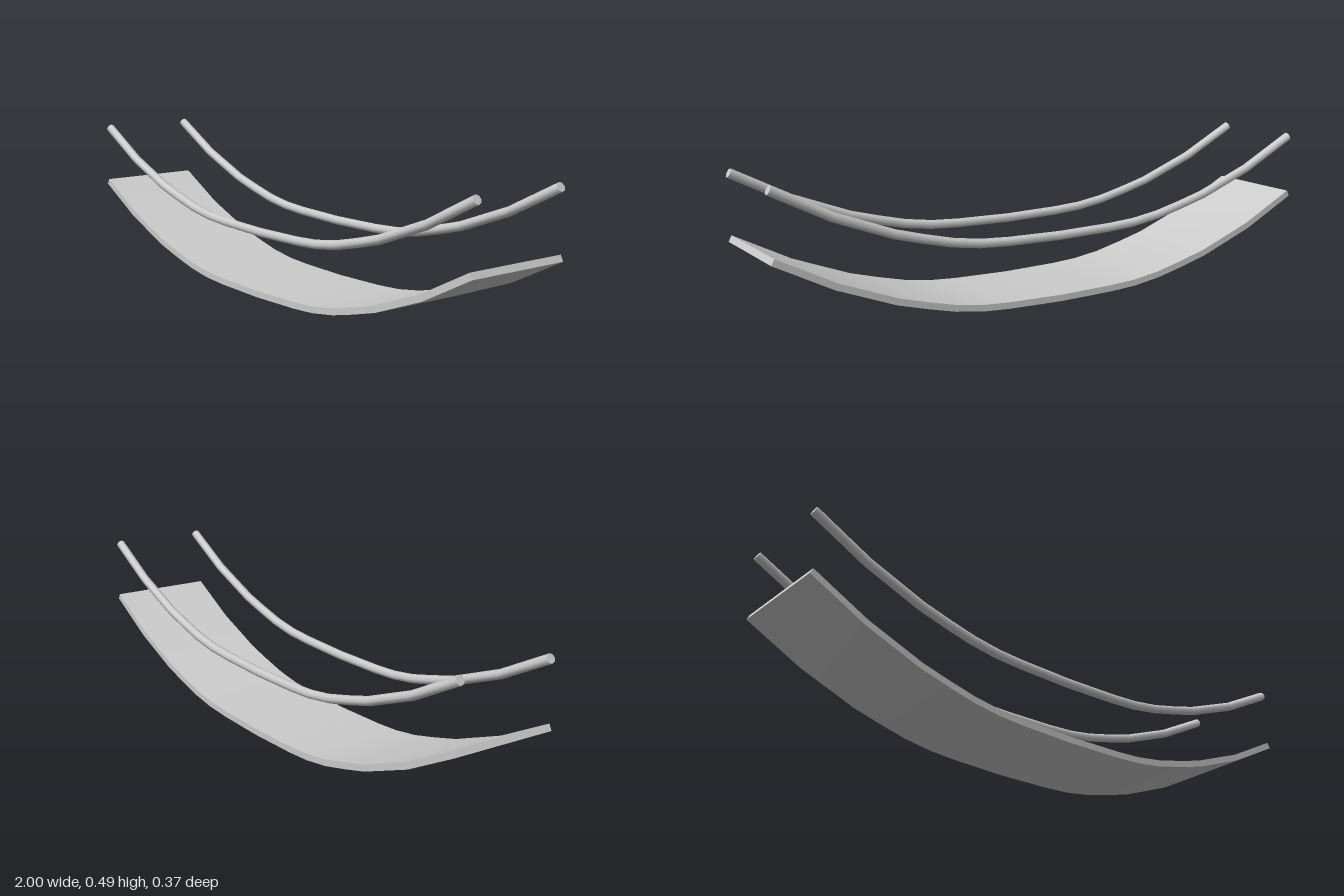
import * as THREE from 'three';
import { toCreasedNormals } from 'three/addons/utils/BufferGeometryUtils.js';

// Half of the sagging centre line (x, y), mirrored to the full span
const half = [[0, 0.011], [0.2, 0.015], [0.3, 0.021], [0.4, 0.036], [0.5, 0.06],
  [0.6, 0.087], [0.8, 0.163], [0.995, 0.263]];
const path = [...half.slice(1).reverse().map(([x, y]) => [-x, y]), ...half]
  .map(([x, y]) => new THREE.Vector2(x, y));

// Sweeps a closed section of [along normal, along z] points down the path
function sweep(section) {
  const n = section.length, last = path.length - 1;
  const pos = [], index = [];
  path.forEach((p, i) => {
    const before = p.clone().sub(path[Math.max(i - 1, 0)]).normalize();
    const after = path[Math.min(i + 1, last)].clone().sub(p).normalize();
    const t = before.add(after).normalize();
    for (const [u, v] of section) pos.push(p.x - t.y * u, p.y + t.x * u, v);
  });
  for (let i = 0; i < last; i++) {
    for (let j = 0; j < n; j++) {
      const a = i * n + j, b = i * n + (j + 1) % n;
      index.push(a, b, b + n, a, b + n, a + n);
    }
  }
  // End caps
  const e = last * n;
  for (let j = 1; j < n - 1; j++) index.push(0, j + 1, j, e, e + j, e + j + 1);
  const geo = new THREE.BufferGeometry();
  geo.setAttribute('position', new THREE.Float32BufferAttribute(pos, 3));
  geo.setIndex(index);
  return toCreasedNormals(geo, Math.PI / 3);
}

export function createModel() {
  const group = new THREE.Group();
  const material = new THREE.MeshStandardMaterial({ color: 0xcccccc });

  // Walkway of the hanging bridge
  const w = 0.183, h = 0.011;
  const deck = new THREE.Mesh(sweep([[h, -w], [h, w], [-h, w], [-h, -w]]), material);
  deck.name = 'deck';
  group.add(deck);

  // Round handrails following the deck
  const circle = Array.from({ length: 8 }, (_, i) => {
    const a = i * Math.PI / 4;
    return [0.0155 * Math.cos(a), 0.0155 * Math.sin(a)];
  });
  const railGeometry = sweep(circle);
  for (const side of [1, -1]) {
    const rail = new THREE.Mesh(railGeometry, material);
    rail.name = side > 0 ? 'frontHandrail' : 'backHandrail';
    rail.position.set(0, 0.209, side * 0.167);
    group.add(rail);
  }
  return group;
}
